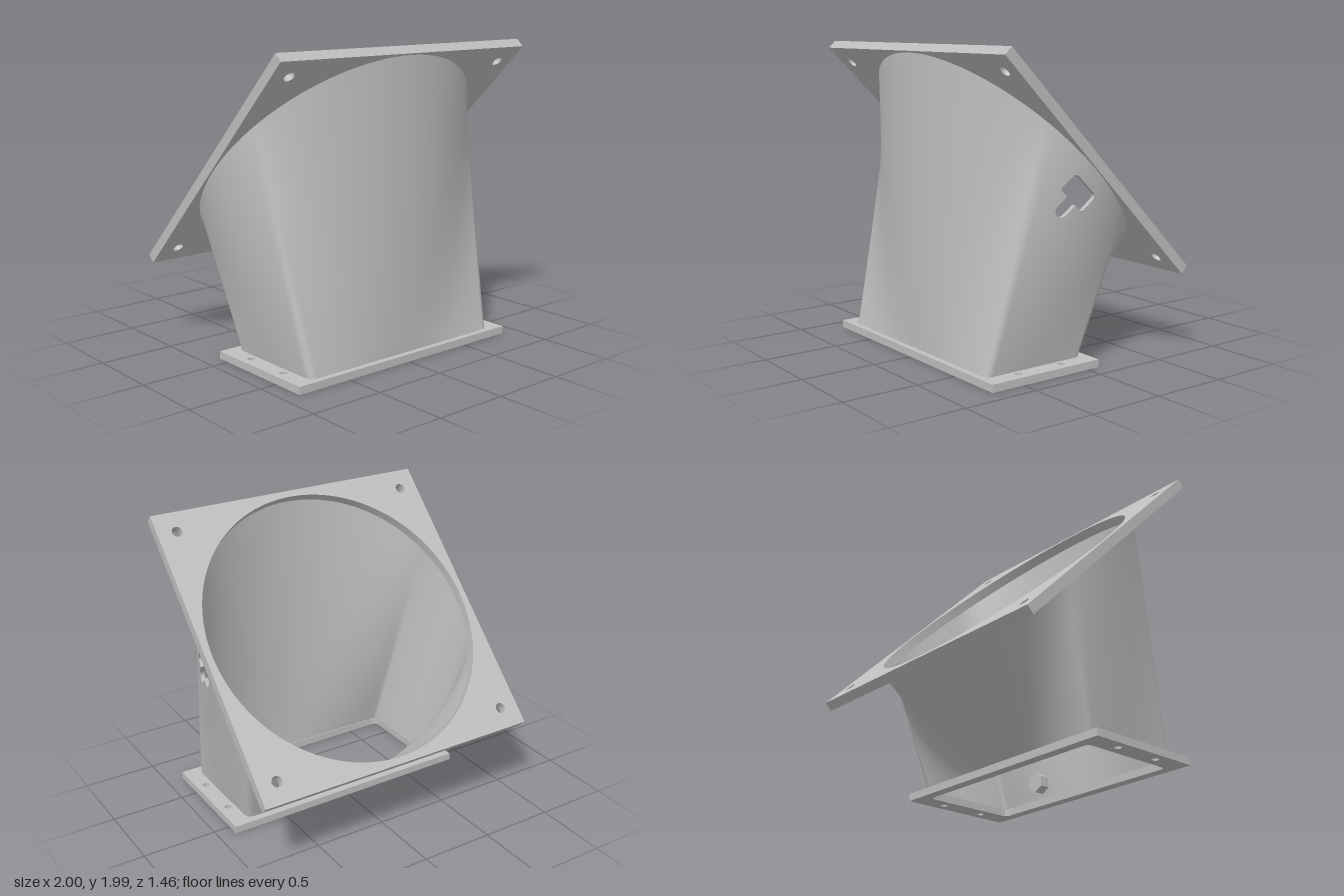
import * as THREE from 'three';
import { toCreasedNormals } from 'three/addons/utils/BufferGeometryUtils.js';

const H = Math.SQRT1_2;
const BASE_Z = 0.325, BASE_TOP = 0.05;   // duct foot
const RING_Y = 1.24, RING_Z = 0.02;      // centre of the tilted plate's underside
const COLS = 240, ROWS = 20, STEP = (Math.PI * 2) / COLS;
const PATCH = { i0: -4, i1: 12, j0: 13, j1: 19 }; // cells replaced by the slotted patch

const OUTER = { hx: 0.77, hz: 0.365, r: 0.045, ring: 0.985 };
const INNER = { hx: 0.74, hz: 0.34, r: 0.03, ring: 0.955 };

// Distance from the centre to a rounded rectangle along angle a
function rectRadius({ hx, hz, r }, a) {
  const c = Math.abs(Math.cos(a)), s = Math.abs(Math.sin(a));
  const kx = hx - r, kz = hz - r;
  if (hx * s <= kz * c) return hx / c;
  if (hz * c <= kx * s) return hz / s;
  const d = c * kx + s * kz;
  return d + Math.sqrt(Math.max(0, d * d - kx * kx - kz * kz + r * r));
}

// Ruled surface from the rounded rectangle (t = 0) to the tilted circle (t = 1)
function ductPoint(p, a, t) {
  const q = rectRadius(p, a), c = Math.cos(a), s = Math.sin(a);
  const foot = new THREE.Vector3(q * c, BASE_TOP, BASE_Z + q * s);
  const top = new THREE.Vector3(p.ring * c, RING_Y + H * p.ring * s, RING_Z + H * p.ring * s);
  return foot.lerp(top, t);
}

function ductNormal(p, a, t) {
  const e = 0.004;
  const da = ductPoint(p, a + e, t).sub(ductPoint(p, a - e, t));
  const dt = ductPoint(p, a, t + e).sub(ductPoint(p, a, t - e));
  return dt.cross(da).normalize();
}

// T-shaped slot outline, as (z, y) points on the side of the duct
function slotOutline() {
  const s = new THREE.Shape(), r = 0.025, w = 0.105, h = 0.065, P = Math.PI;
  s.absarc(w - r, r - h, r, -P / 2, 0);
  s.absarc(w - r, h - r, r, 0, P / 2);
  s.lineTo(0.04, h);
  s.absarc(0, 0.145, 0.04, 0, P);
  s.lineTo(-0.04, h);
  s.absarc(r - w, h - r, r, P / 2, P);
  s.absarc(r - w, r - h, r, P, P * 1.5);
  return s.getPoints(6).map(({ x: u, y: v }) => ({ z: 0.14 + H * (u + v), y: 1.125 + H * (u - v) }));
}

// Finds the (a, t) of the surface point with the given z and y, by Newton steps
function locate(p, { z, y }) {
  let a = 0.1, t = 0.8;
  const e = 1e-4;
  for (let k = 0; k < 15; k++) {
    const o = ductPoint(p, a, t), oa = ductPoint(p, a + e, t), ot = ductPoint(p, a, t + e);
    const za = (oa.z - o.z) / e, ya = (oa.y - o.y) / e, zt = (ot.z - o.z) / e, yt = (ot.y - o.y) / e;
    const det = za * yt - zt * ya, dz = z - o.z, dy = y - o.y;
    a += (dz * yt - zt * dy) / det;
    t += (za * dy - dz * ya) / det;
  }
  return new THREE.Vector2(a, t);
}

// One skin of the duct, with the slot cut out
function ductSkin(p, outline, outward) {
  const pos = [], nor = [];
  const tri = (A, B, C) => {
    const area = (B.x - A.x) * (C.y - A.y) - (B.y - A.y) * (C.x - A.x);
    for (const v of (area > 0) === outward ? [A, C, B] : [A, B, C]) {
      pos.push(...ductPoint(p, v.x, v.y).toArray());
      nor.push(...ductNormal(p, v.x, v.y).multiplyScalar(outward ? 1 : -1).toArray());
    }
  };
  const node = (i, j) => new THREE.Vector2(i * STEP, j / ROWS);
  const { i0, i1, j0, j1 } = PATCH;
  for (let i = i0; i < i0 + COLS; i++) {
    for (let j = 0; j < ROWS; j++) {
      if (i < i1 && j >= j0 && j < j1) continue;
      tri(node(i, j), node(i + 1, j), node(i + 1, j + 1));
      tri(node(i, j), node(i + 1, j + 1), node(i, j + 1));
    }
  }
  const border = [];
  for (let i = i0; i < i1; i++) border.push(node(i, j0));
  for (let j = j0; j < j1; j++) border.push(node(i1, j));
  for (let i = i1; i > i0; i--) border.push(node(i, j1));
  for (let j = j1; j > j0; j--) border.push(node(i0, j));
  const hole = outline.map((q) => locate(p, q));
  const all = [...border, ...hole];
  for (const [a, b, c] of THREE.ShapeUtils.triangulateShape(border, [hole])) tri(all[a], all[b], all[c]);

  const g = new THREE.BufferGeometry();
  g.setAttribute('position', new THREE.Float32BufferAttribute(pos, 3));
  g.setAttribute('normal', new THREE.Float32BufferAttribute(nor, 3));
  return g;
}

// Wall thickness shown inside the slot
function slotRim(outline) {
  const ring = (p) => outline.map((q) => { const v = locate(p, q); return ductPoint(p, v.x, v.y); });
  const o = ring(OUTER), n = ring(INNER), pos = [];
  o.forEach((po, k) => {
    const m = (k + 1) % o.length;
    for (const v of [po, o[m], n[k], o[m], n[m], n[k]]) pos.push(v.x, v.y, v.z);
  });
  const g = new THREE.BufferGeometry();
  g.setAttribute('position', new THREE.Float32BufferAttribute(pos, 3));
  g.computeVertexNormals();
  return g;
}

function rectShape(hx, hy) {
  return new THREE.Shape([[-hx, -hy], [hx, -hy], [hx, hy], [-hx, hy]].map(([x, y]) => new THREE.Vector2(x, y)));
}

function circlePath(x, y, r, n) {
  const pts = [];
  for (let i = 0; i < n; i++) {
    const a = (i / n) * Math.PI * 2;
    pts.push(new THREE.Vector2(x + r * Math.cos(a), y + r * Math.sin(a)));
  }
  return new THREE.Path(pts);
}

function plate(shape, depth) {
  return toCreasedNormals(new THREE.ExtrudeGeometry(shape, { depth, bevelEnabled: false }), 0.6);
}

export function createModel() {
  const model = new THREE.Group();
  model.name = 'ductAdapter';
  const grey = new THREE.MeshStandardMaterial({ color: 0xbfbfbf });
  grey.name = 'light grey';
  const add = (name, geometry) => {
    const mesh = new THREE.Mesh(geometry, grey);
    mesh.name = name;
    model.add(mesh);
  };

  // Foot flange with rectangular opening and four small screw holes
  const foot = rectShape(0.885, 0.41);
  const opening = [];
  for (let i = 0; i < COLS; i++) {
    const q = rectRadius(INNER, i * STEP);
    opening.push(new THREE.Vector2(q * Math.cos(i * STEP), q * Math.sin(i * STEP)));
  }
  foot.holes.push(new THREE.Path(opening));
  for (const x of [-0.815, 0.815]) for (const y of [-0.165, 0.165]) foot.holes.push(circlePath(x, y, 0.024, 12));
  add('footFlange', plate(foot, BASE_TOP).rotateX(-Math.PI / 2).translate(0, 0, BASE_Z - 0.005));

  // Tilted square flange with round opening and corner holes
  const top = rectShape(1, 1);
  top.holes.push(circlePath(0, 0, INNER.ring, 120));
  for (const x of [-0.865, 0.865]) for (const y of [-0.86, 0.86]) top.holes.push(circlePath(x, y, 0.036, 12));
  add('tiltedFlange', plate(top, 0.065).rotateX(-Math.PI * 0.75).translate(0, RING_Y, RING_Z));

  // Duct walls and the slot in the side
  const outline = slotOutline();
  add('ductOuterWall', ductSkin(OUTER, outline, true));
  add('ductInnerWall', ductSkin(INNER, outline, false));
  add('slotRim', slotRim(outline));

  // Hexagonal boss inside the front wall
  const hex = new THREE.Shape();
  for (let i = 0; i < 6; i++) {
    const a = (i / 6) * Math.PI * 2, x = 0.068 * Math.sin(a), y = 0.068 * Math.cos(a);
    if (i) hex.lineTo(x, y); else hex.moveTo(x, y);
  }
  add('hexBoss', new THREE.ExtrudeGeometry(hex, { depth: 0.085, bevelEnabled: false }).translate(0.36, 0.15, 0.59));

  return model;
}
